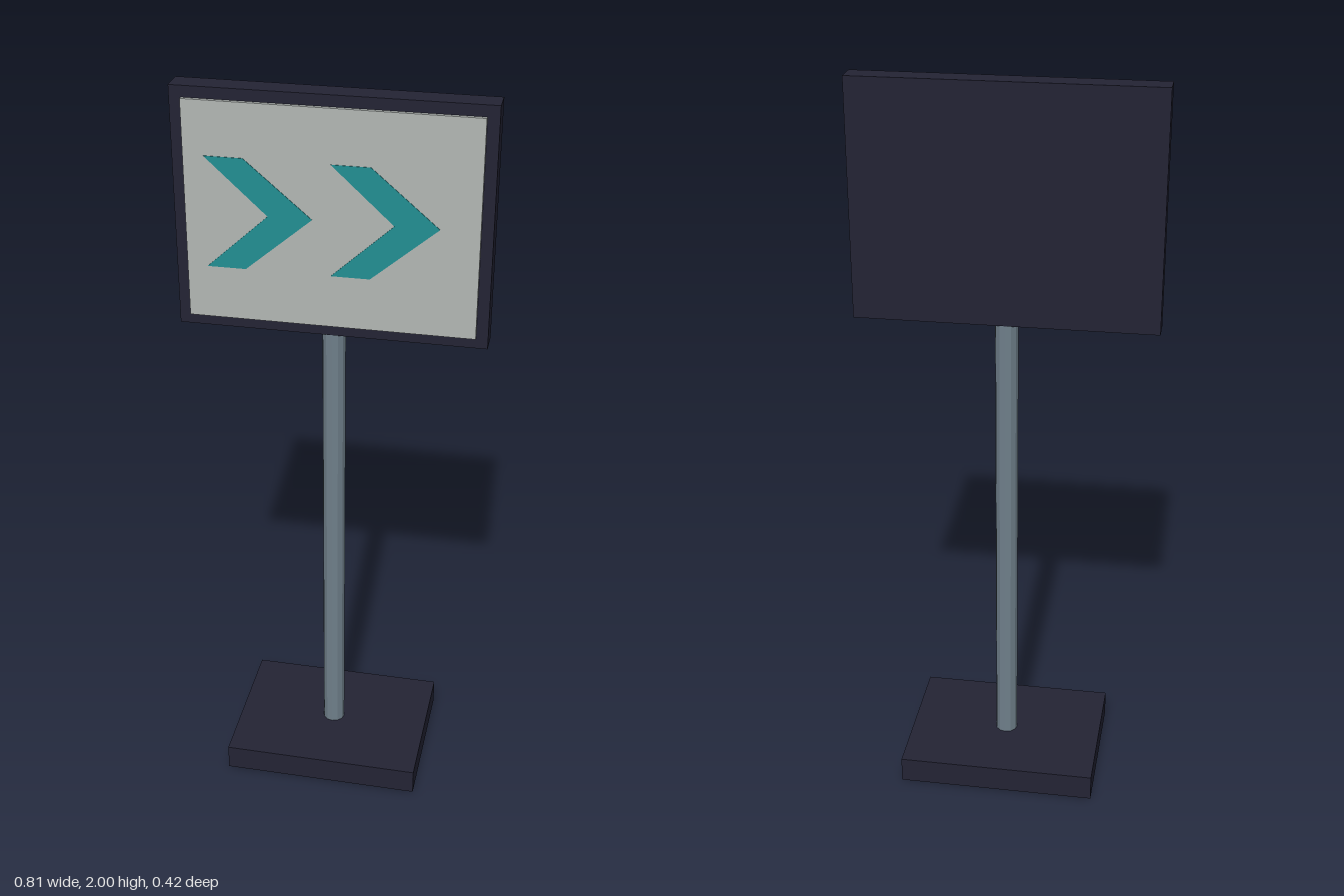
import * as THREE from 'three';

const paint = (name, color) => {
  const m = new THREE.MeshStandardMaterial({ color });
  m.name = name;
  return m;
};

export function createModel() {
  const model = new THREE.Group();
  model.name = 'directionSign';

  const navy = paint('darkNavy', 0x232334);
  const steel = paint('steelGrey', 0x6f7f8a);
  steel.flatShading = true;
  const pale = paint('paleGrey', 0xb2b7b4);
  const teal = paint('teal', 0x228f93);

  const add = (name, geometry, material, x, y, z) => {
    const mesh = new THREE.Mesh(geometry, material);
    mesh.name = name;
    mesh.position.set(x, y, z);
    model.add(mesh);
  };

  // Foot and post
  add('base', new THREE.BoxGeometry(0.55, 0.073, 0.418), navy, 0, 0.0365, 0);
  add('post', new THREE.CylinderGeometry(0.031, 0.031, 1.31, 12), steel, 0, 0.725, 0);

  // Sign board with a raised face panel
  add('signFrame', new THREE.BoxGeometry(0.807, 0.635, 0.066), navy, 0, 1.6825, 0);
  add('signPanel', new THREE.BoxGeometry(0.746, 0.576, 0.012), pale, 0, 1.6825, 0.037);

  // Two chevrons pointing to the sign's +x side
  const chevron = new THREE.Shape([
    [-0.32, -0.147], [-0.22, -0.147], [-0.047, 0], [-0.22, 0.147], [-0.32, 0.147], [-0.16, 0],
  ].map(([x, y]) => new THREE.Vector2(x, y)));
  const plate = new THREE.ExtrudeGeometry(chevron, { depth: 0.002, bevelEnabled: false });
  for (const [i, x] of [0, 0.32].entries()) {
    add(`chevron${i + 1}`, plate, teal, x, 1.683, 0.0425);
  }

  return model;
}
